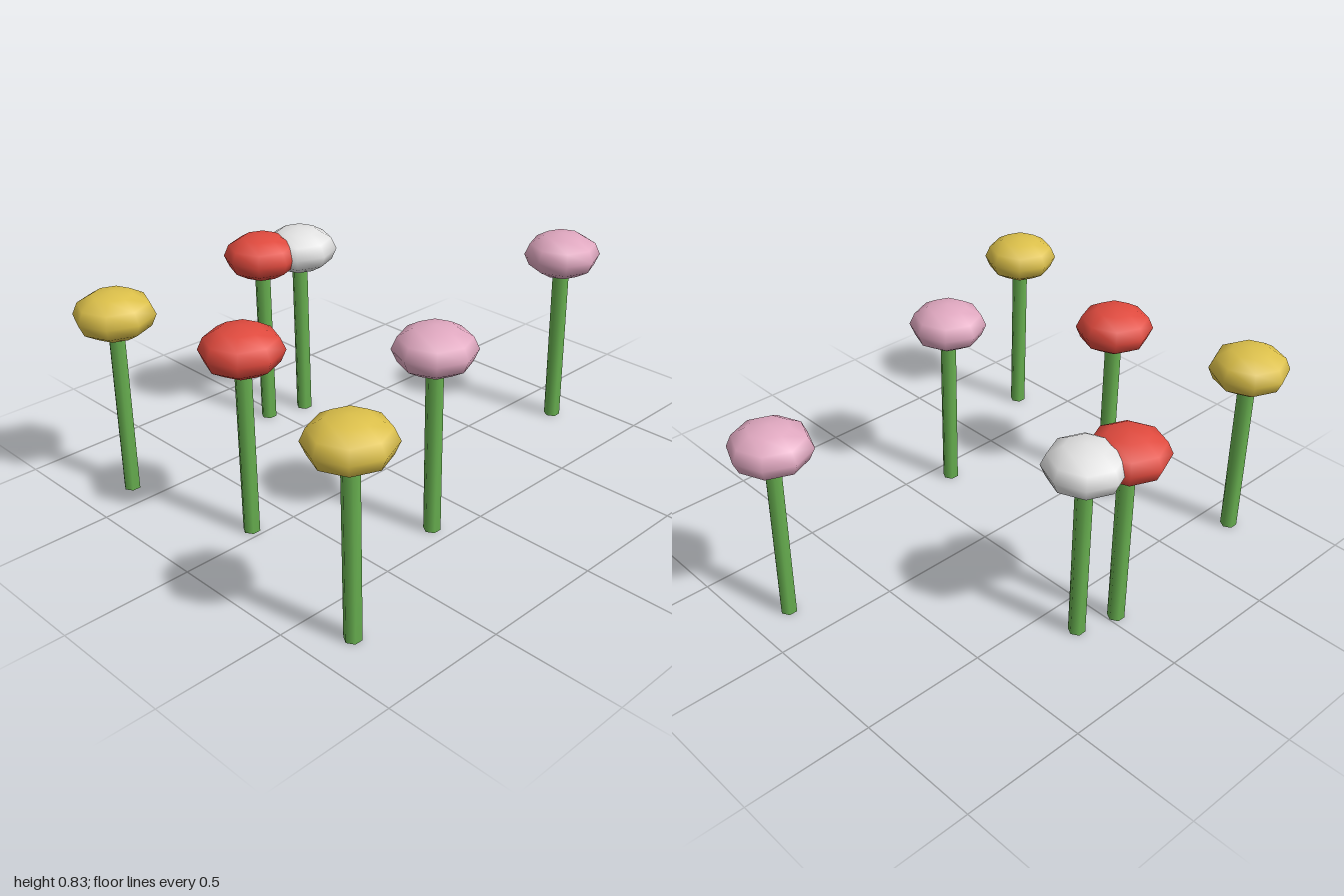
import * as THREE from 'three';
import { mergeVertices } from 'three/addons/utils/BufferGeometryUtils.js';

const mat = (name, color) => {
  const m = new THREE.MeshStandardMaterial({ color });
  m.name = name;
  return m;
};

const HEAD_Y = 0.74;
const HEAD_R = 0.155;
const STEM_R = 0.033;

// Six-sided stem whose shading is smoothed over the end caps
function stemGeometry() {
  let g = new THREE.CylinderGeometry(STEM_R, STEM_R, HEAD_Y, 6);
  g.deleteAttribute('normal');
  g.deleteAttribute('uv');
  g = mergeVertices(g, 1e-4);
  g.computeVertexNormals();
  return g.translate(0, HEAD_Y / 2, 0);
}

export function createModel() {
  const model = new THREE.Group();
  model.name = 'flowerPatch';

  const green = mat('stemGreen', 0x68b050);
  const red = mat('petalRed', 0xe04a3e);
  const yellow = mat('petalYellow', 0xdcc04a);
  const pink = mat('petalPink', 0xe0a8c0);
  const white = mat('petalWhite', 0xe2e2e2);

  const stemGeo = stemGeometry();
  // Flattened low-poly blossom
  const headGeo = new THREE.SphereGeometry(HEAD_R, 8, 6).scale(1, 0.6, 1);

  // Each flower: x, z, blossom colour
  const flowers = [
    [-0.685, 0.035, red],
    [-0.64, -0.13, white],
    [-0.615, 0.8, yellow],
    [-0.047, 0.665, red],
    [0.177, -0.845, pink],
    [0.425, 0.19, pink],
    [0.682, 0.845, yellow],
  ];

  for (const [x, z, petal] of flowers) {
    const flower = new THREE.Group();
    flower.name = 'flower';
    const stem = new THREE.Mesh(stemGeo, green);
    stem.name = 'stem';
    const head = new THREE.Mesh(headGeo, petal);
    head.name = 'blossom';
    head.position.y = HEAD_Y;
    flower.add(stem, head);
    flower.position.set(x, 0, z);
    model.add(flower);
  }
  return model;
}
